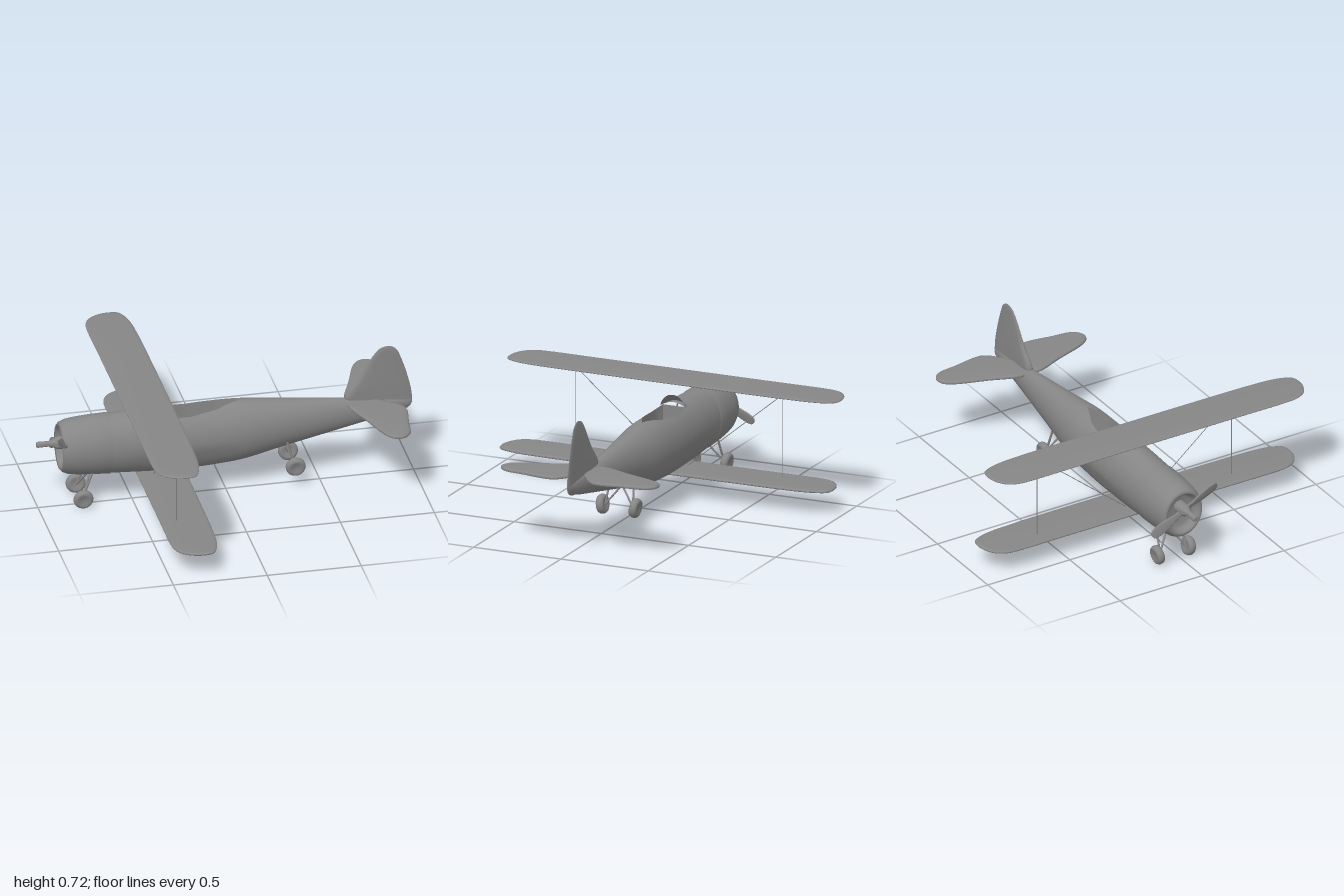
import * as THREE from 'three';
import { toCreasedNormals } from 'three/addons/utils/BufferGeometryUtils.js';

const V = (x, y, z) => new THREE.Vector3(x, y, z);
const grey = new THREE.MeshStandardMaterial({ color: 0x868686 });
const greyThin = new THREE.MeshStandardMaterial({ color: 0x868686, side: THREE.DoubleSide });

// Skin stretched over rings of points running toward +x
function loft(rings, closed = true) {
  const n = rings[0].length, index = [];
  for (let i = 0; i < rings.length - 1; i++) {
    for (let j = 0; j < (closed ? n : n - 1); j++) {
      const k = (j + 1) % n;
      const a = i * n + j, b = i * n + k, c = a + n, d = b + n;
      index.push(a, b, c, b, d, c);
    }
  }
  const geo = new THREE.BufferGeometry().setFromPoints(rings.flat());
  geo.setIndex(index);
  geo.computeVertexNormals();
  return geo;
}

// Flat part with a rounded outline and thinned edges, centred on its thickness
function plate(points, thickness, edge) {
  const curve = new THREE.CatmullRomCurve3(points.map(([x, y]) => V(x, y, 0)), true, 'centripetal');
  const outline = curve.getPoints(72).slice(0, -1).map(p => new THREE.Vector2(p.x, p.y));
  const core = thickness * 0.3, bevel = thickness * 0.35;
  const geo = new THREE.ExtrudeGeometry(new THREE.Shape(outline), {
    depth: core, bevelThickness: bevel, bevelSize: edge, bevelOffset: -edge, bevelSegments: 3,
  });
  geo.translate(0, 0, -core / 2);
  return toCreasedNormals(geo, 0.7);
}

// Elliptical section: top, bottom and half width at x, between two angles from the top
function section([x, top, bottom, half], from = 0, to = Math.PI * 2, n = 40, closed = true) {
  return Array.from({ length: n }, (_, j) => {
    const a = from + (to - from) * j / (closed ? n : n - 1);
    return V(x, (top + bottom) / 2 + Math.cos(a) * (top - bottom) / 2, Math.sin(a) * half);
  });
}

// Linear lookup in a table sorted by its first column
function lookup(table, x) {
  let i = 0;
  while (i < table.length - 2 && x > table[i + 1][0]) i++;
  const t = THREE.MathUtils.clamp((x - table[i][0]) / (table[i + 1][0] - table[i][0]), 0, 1);
  return table[i].map((v, k) => THREE.MathUtils.lerp(v, table[i + 1][k], t));
}

const BODY = [ // x, top, bottom, half width
  [-0.63, 0.484, 0.158, 0.129], [-0.4, 0.495, 0.142, 0.132], [-0.15, 0.495, 0.138, 0.132],
  [0.08, 0.495, 0.153, 0.126], [0.3, 0.472, 0.203, 0.095], [0.64, 0.44, 0.273, 0.049],
  [0.94, 0.41, 0.335, 0.015], [0.99, 0.4, 0.37, 0.005],
];
const RIM = [[-0.315, 0.06], [-0.27, 0.075], [-0.2, 0.077], [-0.05, 0.055], [0.08, 0]]; // x, half width

// Body dimensions at x, averaged over a short length to round off the stations
function body(x) {
  const near = [-0.06, -0.03, 0, 0.03, 0.06].map(d => lookup(BODY, x + d));
  return [x, ...[1, 2, 3].map(k => near.reduce((sum, s) => sum + s[k], 0) / near.length)];
}

// Body ring, slightly hollowed low on the sides around the wing root
function bodyRing(x, ...range) {
  const along = Math.max(0, 1 - ((x + 0.22) / 0.33) ** 2);
  return section(body(x), ...range).map(p => {
    p.z *= 1 - 0.08 * along * Math.max(0, 1 - ((p.y - 0.22) / 0.08) ** 2);
    return p;
  });
}

export function createModel() {
  const model = new THREE.Group();
  const plane = new THREE.Group();
  plane.name = 'aeroplane';
  plane.position.z = -0.037;
  model.add(plane);

  const add = (name, geo, mat = grey, parent = plane) => {
    const mesh = new THREE.Mesh(geo, mat);
    mesh.name = name;
    parent.add(mesh);
    return mesh;
  };
  const rod = (name, a, b, radius) => {
    const mesh = add(name, new THREE.CylinderGeometry(radius, radius, a.distanceTo(b), 8));
    mesh.position.copy(a).lerp(b, 0.5);
    mesh.quaternion.setFromUnitVectors(V(0, 1, 0), b.clone().sub(a).normalize());
  };

  // Fuselage: whole rings fore and aft, rings open at the top along the cockpit
  const rimAngle = x => Math.asin(lookup(RIM, x)[1] / body(x)[3]);
  const span = (a, b, n) => Array.from({ length: n + 1 }, (_, i) => a + (b - a) * i / n);
  const cockpitX = span(-0.315, 0.08, 20);
  const whole = xs => loft(xs.map(x => bodyRing(x)));
  add('forwardFuselage', whole(span(-0.63, -0.315, 12)));
  add('rearFuselage', whole([...span(0.08, 0.94, 40), 0.97, 0.99]));
  add('cockpitSides', loft(cockpitX.map(x => {
    const a = rimAngle(x);
    return bodyRing(x, a, Math.PI * 2 - a, 41, false);
  }), false), greyThin);

  // Cockpit tub: rim down to a floor and up again
  const tub = cockpitX.map(x => {
    const w = lookup(RIM, x)[1], [, top, bottom] = body(x);
    const rim = (top + bottom) / 2 + Math.cos(rimAngle(x)) * (top - bottom) / 2;
    return [V(x, rim, -w), V(x, 0.37, -w), V(x, 0.37, w), V(x, rim, w)];
  });
  add('cockpitTub', toCreasedNormals(loft(tub, false).toNonIndexed(), 0.7), greyThin);
  const [, floorRight, floorLeft] = tub[0], frontAngle = rimAngle(-0.315);
  add('cockpitFrontWall', loft([[floorRight, floorLeft],
    section(body(-0.315), -frontAngle, frontAngle, 2, false)], false), greyThin);

  // Windscreen rising from the skin ahead of the cockpit
  add('windscreen', loft([
    section(body(-0.35), -0.5, 0.5, 15, false),
    section([-0.305, 0.537, 0.36, 0.075], -1.3, 1.3, 15, false),
  ], false), greyThin);

  // Cowling with a rolled lip and a recessed engine face
  add('cowling', loft([
    [-0.835, 0.33, 0.32, 0.004], [-0.835, 0.41, 0.24, 0.07], [-0.85, 0.425, 0.225, 0.088],
    [-0.875, 0.437, 0.213, 0.098], [-0.882, 0.448, 0.202, 0.108], [-0.872, 0.46, 0.19, 0.116],
    [-0.84, 0.473, 0.175, 0.125], [-0.79, 0.48, 0.167, 0.131], [-0.7, 0.486, 0.159, 0.134],
    [-0.62, 0.488, 0.154, 0.134], [-0.62, 0.48, 0.162, 0.125],
  ].map(s => section(s))));

  // Propeller: shaft and spinner turned about x, two blunt blades
  const propeller = new THREE.Group();
  propeller.name = 'propeller';
  propeller.position.set(-0.885, 0.35, 0);
  plane.add(propeller);
  const hub = new THREE.LatheGeometry([[0, -0.06], [0.035, -0.06], [0.034, -0.005], [0.03, 0.012], [0.018, 0.035],
    [0.015, 0.05], [0.016, 0.108], [0.012, 0.115], [0, 0.115]].map(p => new THREE.Vector2(...p)), 20);
  hub.rotateZ(Math.PI / 2);
  add('propellerHub', toCreasedNormals(hub, 0.7), grey, propeller);
  for (const turn of [0, Math.PI]) {
    const geo = plate([[0, -0.012], [0.06, -0.016], [0.12, -0.026], [0.19, -0.027], [0.217, -0.015],
      [0.217, 0.015], [0.19, 0.027], [0.12, 0.026], [0.06, 0.016], [0, 0.012]], 0.01, 0.004);
    geo.rotateX(0.25);
    geo.rotateY(-Math.PI / 2);
    geo.rotateX(-0.46 + turn);
    add('propellerBlade', geo, grey, propeller);
  }

  // Upper and lower wings share one outline
  const tip = [[-0.125, 0.5], [-0.125, 0.79], [-0.118, 0.85], [-0.09, 0.905], [-0.03, 0.942], [0.03, 0.95],
    [0.075, 0.937], [0.1, 0.89], [0.115, 0.82], [0.123, 0.68], [0.126, 0.4]];
  const wingOutline = [...tip, ...tip.map(([x, z]) => [x, -z]).reverse()];
  for (const [name, x, y, t] of [['upperWing', -0.44, 0.593, 0.012], ['lowerWing', -0.345, 0.133, 0.016]]) {
    const geo = plate(wingOutline, t, 0.018);
    geo.rotateX(-Math.PI / 2);
    add(name, geo).position.set(x, y, 0.037);
  }

  // Fin and rudder, thinning upward and toward the trailing edge
  const fin = plate([[0.64, 0.435], [0.72, 0.55], [0.79, 0.665], [0.83, 0.708], [0.88, 0.718], [0.918, 0.695],
    [0.943, 0.64], [0.975, 0.54], [0.998, 0.43], [0.995, 0.37], [0.945, 0.336], [0.85, 0.345], [0.72, 0.39]], 0.04, 0.035);
  const p = fin.attributes.position;
  for (let i = 0; i < p.count; i++) {
    const rise = THREE.MathUtils.mapLinear(p.getY(i), 0.35, 0.72, 1, 0.35);
    const taper = THREE.MathUtils.mapLinear(p.getX(i), 0.64, 1, 1.2, 0.35);
    p.setZ(i, p.getZ(i) * rise * taper);
  }
  add('fin', toCreasedNormals(fin, 0.7));

  for (const s of [1, -1]) {
    // Tailplane half
    const tail = plate([[0.67, 0], [0.65, 0.045], [0.71, 0.22], [0.775, 0.4], [0.81, 0.44], [0.855, 0.447],
      [0.9, 0.41], [0.92, 0.29], [0.94, 0.16], [0.935, 0.115], [0.91, 0.08], [0.86, 0.04], [0.8, 0]]
      .map(([x, z]) => [x, -s * z]), 0.02, 0.02);
    tail.rotateX(-Math.PI / 2);
    add('tailplane', tail).position.y = 0.412;

    // Wing strut and bracing wire
    rod('wingStrut', V(-0.385, 0.134, s * 0.593), V(-0.385, 0.592, s * 0.593), 0.002);
    rod('bracingWire', V(-0.385, 0.592, s * 0.593), V(-0.385, 0.14, s * 0.05), 0.002);

    // Front and rear undercarriage
    for (const [name, x, y, topX, topY] of [['front', -0.77, 0.054, -0.705, 0.22], ['rear', 0.36, 0.118, 0.315, 0.27]]) {
      const tyre = new THREE.LatheGeometry([[0, -0.014], [0.026, -0.016], [0.034, -0.022], [0.046, -0.018],
        [0.052, -0.007], [0.052, 0.007], [0.046, 0.018], [0.034, 0.022], [0.026, 0.016], [0, 0.014]]
        .map(q => new THREE.Vector2(...q)), 24);
      tyre.rotateX(Math.PI / 2 + s * 0.12);
      add(name + 'Wheel', tyre).position.set(x, y, s * 0.094);
      const axle = V(x, y, s * 0.08);
      rod(name + 'Leg', axle, V(topX, topY, s * 0.064), 0.006);
      rod(name + 'Brace', axle, V(topX, topY - 0.03, s * -0.015), 0.005);
    }
  }
  return model;
}
